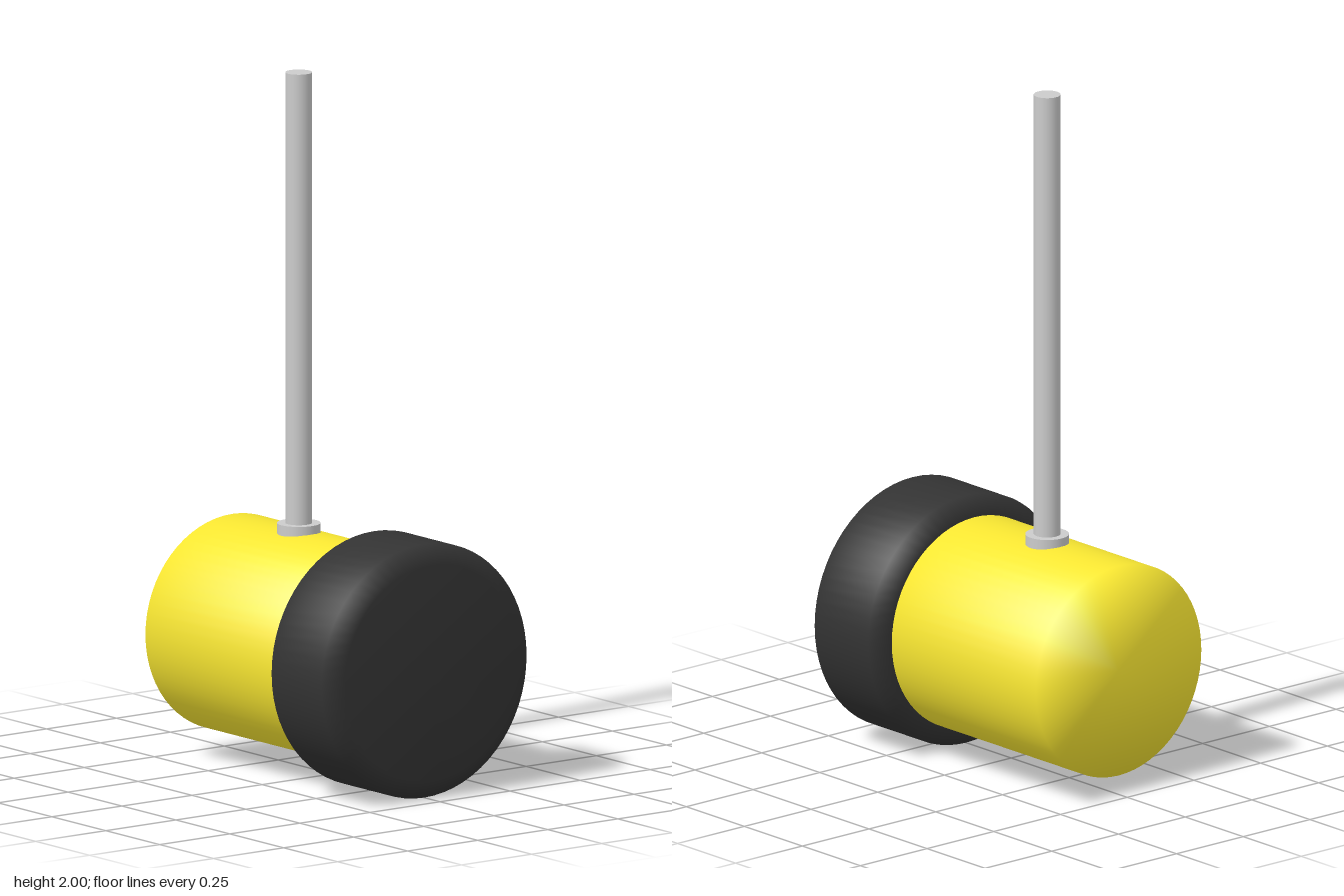
import * as THREE from 'three';

const AXIS_Y = 0.366; // height of the drum's horizontal axis
const ROD_X = -0.155;

const yellow = new THREE.MeshStandardMaterial({ color: 0xffed33 });
const black = new THREE.MeshStandardMaterial({ color: 0x333333 });
const grey = new THREE.MeshStandardMaterial({ color: 0xcccccc });

// Smooth solid turned around the x axis, from [radius, x] pairs
function turned(name, profile, material) {
  const points = profile.map(([r, x]) => new THREE.Vector2(r, x));
  const geometry = new THREE.LatheGeometry(points, 64).rotateZ(-Math.PI / 2);
  const mesh = new THREE.Mesh(geometry, material);
  mesh.name = name;
  mesh.position.y = AXIS_Y;
  return mesh;
}

// Upright cylinder on the rod's axis
function upright(name, radius, bottom, top) {
  const mesh = new THREE.Mesh(new THREE.CylinderGeometry(radius, radius, top - bottom, 40), grey);
  mesh.name = name;
  mesh.position.set(ROD_X, (bottom + top) / 2, 0);
  return mesh;
}

export function createModel() {
  const model = new THREE.Group();
  model.name = 'hangingLamp';

  // Drum body with a flat closed end
  model.add(turned('body', [[0, -0.463], [0.31, -0.463], [0.31, 0.158], [0, 0.158]], yellow));

  // Wider end cap, bevelled on both rims
  model.add(turned('endCap', [
    [0, 0.158], [0.31, 0.158], [0.366, 0.195], [0.366, 0.426], [0.31, 0.463], [0, 0.463],
  ], black));

  // Hanging rod and the collar where it meets the body
  model.add(upright('collar', 0.062, 0.64, 0.7));
  model.add(upright('rod', 0.038, 0.66, 2));

  return model;
}
